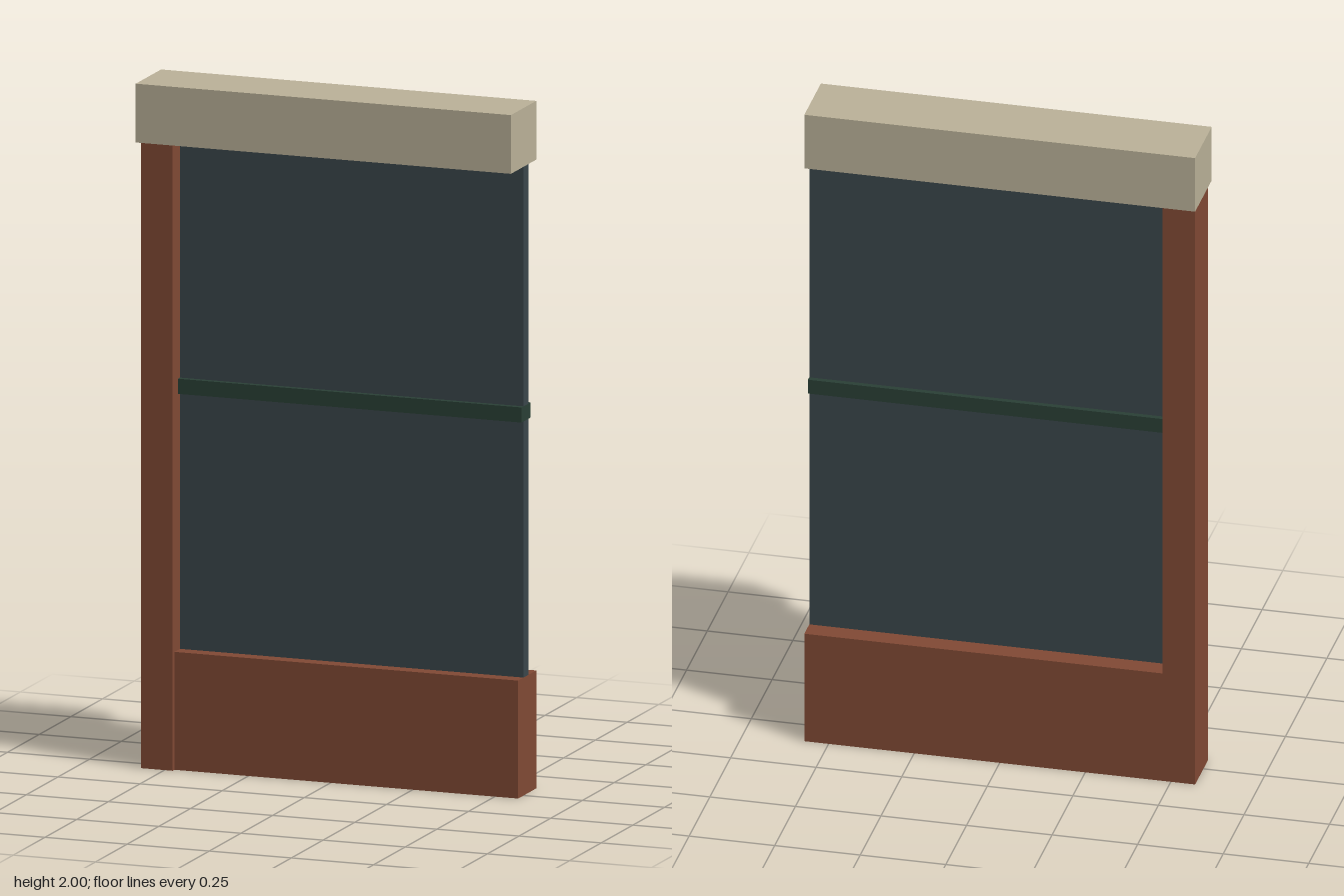
import * as THREE from 'three';

const material = (name, color) => {
  const m = new THREE.MeshStandardMaterial({ color });
  m.name = name;
  return m;
};

export function createModel() {
  const group = new THREE.Group();
  group.name = 'windowWall';
  const brick = material('brick red', 0x824a35);
  const stone = material('pale stone', 0xbcb39a);
  const glass = material('dark glass', 0x3b474c);
  const frame = material('dark green frame', 0x2a4036);

  // Box given by its limits along each axis
  const block = (name, mat, [x0, x1], [y0, y1], [z0, z1]) => {
    const mesh = new THREE.Mesh(new THREE.BoxGeometry(x1 - x0, y1 - y0, z1 - z0), mat);
    mesh.position.set((x0 + x1) / 2, (y0 + y1) / 2, (z0 + z1) / 2);
    mesh.name = name;
    group.add(mesh);
  };

  const left = -0.571, right = 0.571, inner = -0.475;
  const sill = 0.343, head = 1.829;

  // Masonry: side pillar, low wall and overhanging lintel
  block('pillar', brick, [left, inner], [0, head], [-0.1, 0.057]);
  block('lowWall', brick, [inner, right], [0, sill], [-0.1, 0.043]);
  block('lintel', stone, [left, right], [head, 2], [-0.1, 0.1]);

  // Glazing with one horizontal bar
  block('glassPane', glass, [inner, right], [sill, head], [-0.04, 0]);
  block('crossBar', frame, [inner, right], [1.088, 1.132], [-0.056, 0.016]);

  return group;
}
